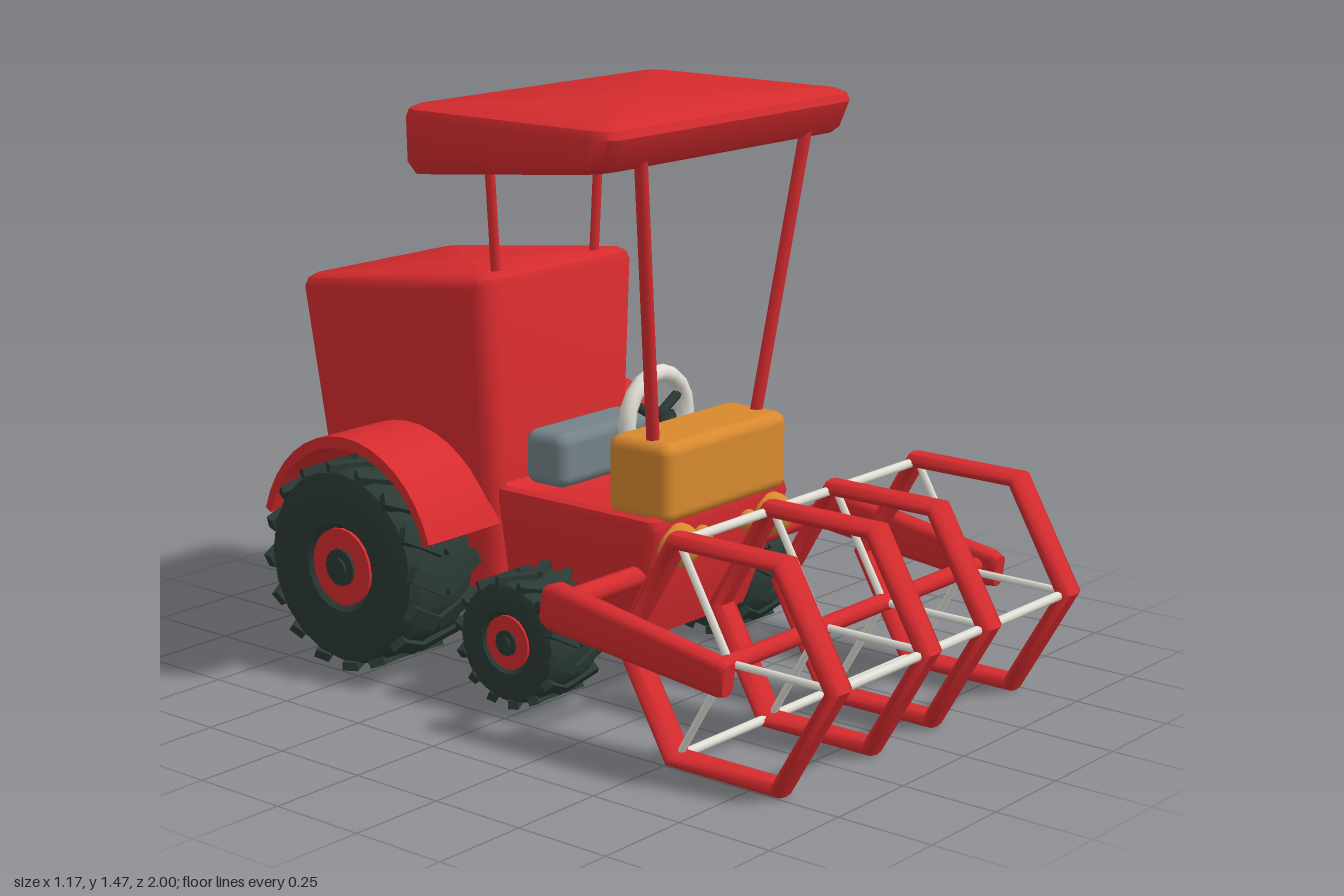
import * as THREE from 'three';
import { mergeGeometries, toCreasedNormals } from 'three/addons/utils/BufferGeometryUtils.js';
import { RoundedBoxGeometry } from 'three/addons/geometries/RoundedBoxGeometry.js';

const material = (name, color) => Object.assign(new THREE.MeshStandardMaterial({ color }), { name });

// Skin over rounded rectangles listed from start to end, capped at both ends.
// Each ring: [half width, front z, back z, y at front, y at back, corner radius]
function loft(rings, steps = 4) {
  const pos = [], index = [], n = 4 * (steps + 1);
  for (const [hx, zf, zb, yf, yb, r] of rings) {
    for (let q = 0; q < 4; q++) {
      const cx = (q === 0 || q === 3 ? 1 : -1) * (hx - r);
      const cz = q < 2 ? zb + r : zf - r;
      for (let k = 0; k <= steps; k++) {
        const a = (q + k / steps) * Math.PI / 2;
        const z = cz - r * Math.sin(a);
        pos.push(cx + r * Math.cos(a), yb + (yf - yb) * (z - zb) / (zf - zb), z);
      }
    }
  }
  const last = rings.length - 1;
  for (const i of [0, last]) {
    const [, zf, zb, yf, yb] = rings[i];
    pos.push(0, (yf + yb) / 2, (zf + zb) / 2);
  }
  for (let j = 0; j < n; j++) {
    const k = (j + 1) % n;
    for (let i = 0; i < last; i++) {
      const a = i * n + j, b = i * n + k;
      index.push(a, b, b + n, a, b + n, a + n);
    }
    index.push(rings.length * n, k, j, rings.length * n + 1, last * n + j, last * n + k);
  }
  const g = new THREE.BufferGeometry();
  g.setAttribute('position', new THREE.Float32BufferAttribute(pos, 3));
  g.setIndex(index);
  return toCreasedNormals(g, 0.7);
}

export function createModel() {
  const model = new THREE.Group();
  model.name = 'harvester';
  const red = material('red paint', 0xd62b2e);
  const dark = material('dark rubber', 0x2b3a34);
  const orange = material('orange', 0xd8892f);
  const grey = material('grey seat', 0x748287);
  const pale = material('pale metal', 0xe2e0d6);

  function add(name, geometry, mat, x = 0, y = 0, z = 0, parent = model) {
    const mesh = new THREE.Mesh(geometry, mat);
    mesh.name = name;
    mesh.position.set(x, y, z);
    parent.add(mesh);
    return mesh;
  }
  // Round bar between two points
  function bar(name, a, b, r, mat, sides = 8, parent = model) {
    const p = new THREE.Vector3(...a), d = new THREE.Vector3(...b).sub(p);
    const m = add(name, new THREE.CylinderGeometry(r, r, d.length(), sides), mat, 0, 0, 0, parent);
    m.position.copy(p).addScaledVector(d, 0.5);
    m.quaternion.setFromUnitVectors(new THREE.Vector3(0, 1, 0), d.normalize());
    return m;
  }

  // Main bodies
  add('rearBody', loft([
    [0.25, -0.24, -0.82, 0.2, 0.2, 0.05],
    [0.29, -0.24, -0.91, 1.0, 0.925, 0.05],
    [0.282, -0.248, -0.902, 1.02, 0.947, 0.045],
    [0.262, -0.268, -0.882, 1.03, 0.96, 0.03],
  ]), red);
  add('frontChassis', loft([
    [0.22, 0.19, -0.24, 0.17, 0.17, 0.03],
    [0.27, 0.285, -0.24, 0.47, 0.47, 0.03],
    [0.265, 0.28, -0.24, 0.493, 0.493, 0.03],
    [0.25, 0.265, -0.235, 0.5, 0.5, 0.03],
    [0.235, 0.25, -0.22, 0.488, 0.488, 0.03],
  ]), red);

  // Hollow roof on four posts
  add('roof', loft([
    [0.43, 0.25, -0.3, 1.43, 1.43, 0.05],
    [0.44, 0.26, -0.31, 1.36, 1.3, 0.05],
    [0.465, 0.28, -0.335, 1.36, 1.3, 0.06],
    [0.48, 0.295, -0.348, 1.375, 1.33, 0.06],
    [0.483, 0.322, -0.348, 1.44, 1.44, 0.06],
    [0.475, 0.315, -0.342, 1.46, 1.46, 0.055],
    [0.45, 0.295, -0.32, 1.47, 1.47, 0.04],
  ]), red);
  for (const s of [-1, 1]) {
    bar('frontPost', [s * 0.2, 0.66, 0.22], [s * 0.32, 1.39, 0.28], 0.017, red, 6);
    bar('rearPost', [s * 0.186, 1.0, -0.3], [s * 0.214, 1.4, -0.3], 0.013, red, 6);
  }

  // Console, seat and lamps
  add('console', new RoundedBoxGeometry(0.48, 0.2, 0.195, 3, 0.03), orange, 0, 0.582, 0.2);
  add('seat', new RoundedBoxGeometry(0.36, 0.14, 0.135, 3, 0.03), grey, 0, 0.562, -0.155);
  for (const s of [-1, 1]) {
    add('headlight', new THREE.SphereGeometry(0.055, 16, 10), orange, s * 0.185, 0.425, 0.285).scale.x = 1.1;
    add('smallLamp', new THREE.SphereGeometry(0.028, 12, 8), orange, s * 0.092, 0.427, 0.285);
  }

  // Steering wheel
  const steering = new THREE.Group();
  steering.name = 'steeringWheel';
  steering.position.set(0, 0.672, 0.065);
  model.add(steering);
  add('wheelRim', new THREE.TorusGeometry(0.114, 0.022, 8, 18), pale, 0, 0, 0, steering);
  bar('wheelHub', [0, 0, -0.012], [0, 0, 0.04], 0.03, dark, 10, steering);
  bar('steeringColumn', [0, 0, 0.03], [0, -0.05, 0.1], 0.02, dark, 8, steering);
  for (let i = 0; i < 3; i++) {
    const a = Math.PI / 6 + i * Math.PI * 2 / 3;
    bar('wheelSpoke', [0, 0, 0], [0.11 * Math.cos(a), 0.11 * Math.sin(a), 0], 0.013, dark, 6, steering);
  }

  // Wheels with chevron treads; s is the side of the model
  function wheel(name, s, x, y, z, r, w, hubR, lugs) {
    const g = new THREE.Group();
    g.name = name;
    g.position.set(s * x, y, z);
    model.add(g);
    const b = r - 0.01;
    const profile = [[0, -0.82], [hubR, -0.82], [hubR * 1.15, -0.95], [b * 0.82, -1], [b * 0.95, -0.92], [b, -0.7],
      [b, 0.7], [b * 0.95, 0.92], [b * 0.82, 1], [hubR * 1.15, 0.95], [hubR, 0.82], [0, 0.82]];
    const tyre = new THREE.LatheGeometry(profile.map(([pr, t]) => new THREE.Vector2(pr, t * w)), 20);
    add('tyre', toCreasedNormals(tyre.rotateZ(-Math.PI / 2), 0.5), dark, 0, 0, 0, g);
    const blocks = [];
    for (let i = 0; i < lugs; i++) {
      for (const side of [-1, 1]) {
        blocks.push(new THREE.BoxGeometry(w * 1.08, 0.022, r * 0.15)
          .rotateY(side * 0.5).translate(side * w * 0.49, r - 0.012, 0)
          .rotateX((i / lugs) * Math.PI * 2));
      }
    }
    add('tread', mergeGeometries(blocks), dark, 0, 0, 0, g);
    const face = s * w;
    bar('hub', [0, 0, 0], [face * 0.9, 0, 0], hubR, red, 20, g);
    bar('hubCap', [0, 0, 0], [face * 0.96, 0, 0], hubR * 0.48, dark, 14, g);
    bar('hubPin', [0, 0, 0], [face * 1.02, 0, 0], hubR * 0.25, dark, 8, g);
    bar('axle', [0, 0, 0], [s * (0.1 - x), 0, 0], 0.03, dark, 8, g);
  }

  // Arched fender outline, extruded sideways
  const fenderShape = new THREE.Shape();
  for (let i = 0; i <= 16; i++) {
    const a = 0.3 + (i / 16) * (Math.PI - 0.62);
    fenderShape[i ? 'lineTo' : 'moveTo'](0.305 * Math.cos(a), 0.33 * Math.sin(a));
  }
  for (let i = 16; i >= 0; i--) {
    const a = 0.3 + (i / 16) * (Math.PI - 0.62);
    fenderShape.lineTo(0.285 * Math.cos(a), 0.3 * Math.sin(a));
  }
  fenderShape.closePath();
  const fenderGeo = toCreasedNormals(
    new THREE.ExtrudeGeometry(fenderShape, { depth: 0.26, bevelEnabled: false }).translate(0, 0, -0.13).rotateY(Math.PI / 2), 0.5);

  // Coupling prong outline in z and y
  const prongShape = new THREE.Shape([[0.8, 0.3], [0.945, 0.3], [1, 0.26], [1, 0.295], [0.95, 0.34], [0.8, 0.34]]
    .map(([z, y]) => new THREE.Vector2(z, y)));
  const prongGeo = new THREE.ExtrudeGeometry(prongShape, { depth: 0.073, bevelEnabled: false })
    .translate(0, 0, -0.0365).rotateY(Math.PI / 2);

  // Tapered arm, lofted upright and then laid forward
  const armGeo = loft([
    [0.02, 0.04, -0.04, 0, 0, 0.018],
    [0.025, 0.047, -0.045, 0.02, 0.02, 0.02],
    [0.033, 0.062, -0.055, 0.52, 0.52, 0.025],
    [0.026, 0.05, -0.045, 0.545, 0.545, 0.02],
  ]).rotateX(-Math.PI / 2);

  for (const s of [-1, 1]) {
    wheel('rearWheel', s, 0.41, 0.288, -0.535, 0.267, 0.12, 0.1, 16);
    wheel('frontWheel', s, 0.385, 0.185, -0.018, 0.165, 0.093, 0.068, 14);
    add('fender', fenderGeo, red, s * 0.37, 0.29, -0.535);
    add('couplingProng', prongGeo, dark, s * 0.045, 0, 0);
    add('reelArm', armGeo, red, s * 0.552, 0.275, 0.73).rotation.x = 0.13;
  }
  bar('armCrossbar', [-0.56, 0.345, 0.208], [0.56, 0.345, 0.208], 0.027, red, 10);

  // Hexagonal gathering reel
  const reel = new THREE.Group();
  reel.name = 'reel';
  reel.position.set(0, 0.285, 0.675);
  model.add(reel);
  const hexGeo = toCreasedNormals(
    new THREE.TorusGeometry(0.303, 0.022, 12, 6).scale(1, 1, 1.95).rotateY(Math.PI / 2), 1.0);
  bar('reelAxle', [-0.56, 0, 0], [0.56, 0, 0], 0.022, red, 10, reel);
  const ringX = [-0.477, -0.125, 0.125, 0.477];
  for (const x of ringX) add('hexRing', hexGeo, red, x, 0, 0, reel);
  for (let i = 0; i < 3; i++) {
    const a = i * Math.PI * 2 / 3;
    const y = 0.298 * Math.sin(a), z = 0.298 * Math.cos(a);
    bar('reelRod', [-0.477, y, z], [0.477, y, z], 0.012, pale, 8, reel);
    for (const x of ringX) bar('reelSpoke', [x, 0, 0], [x, y, z], 0.01, pale, 6, reel);
  }
  return model;
}
